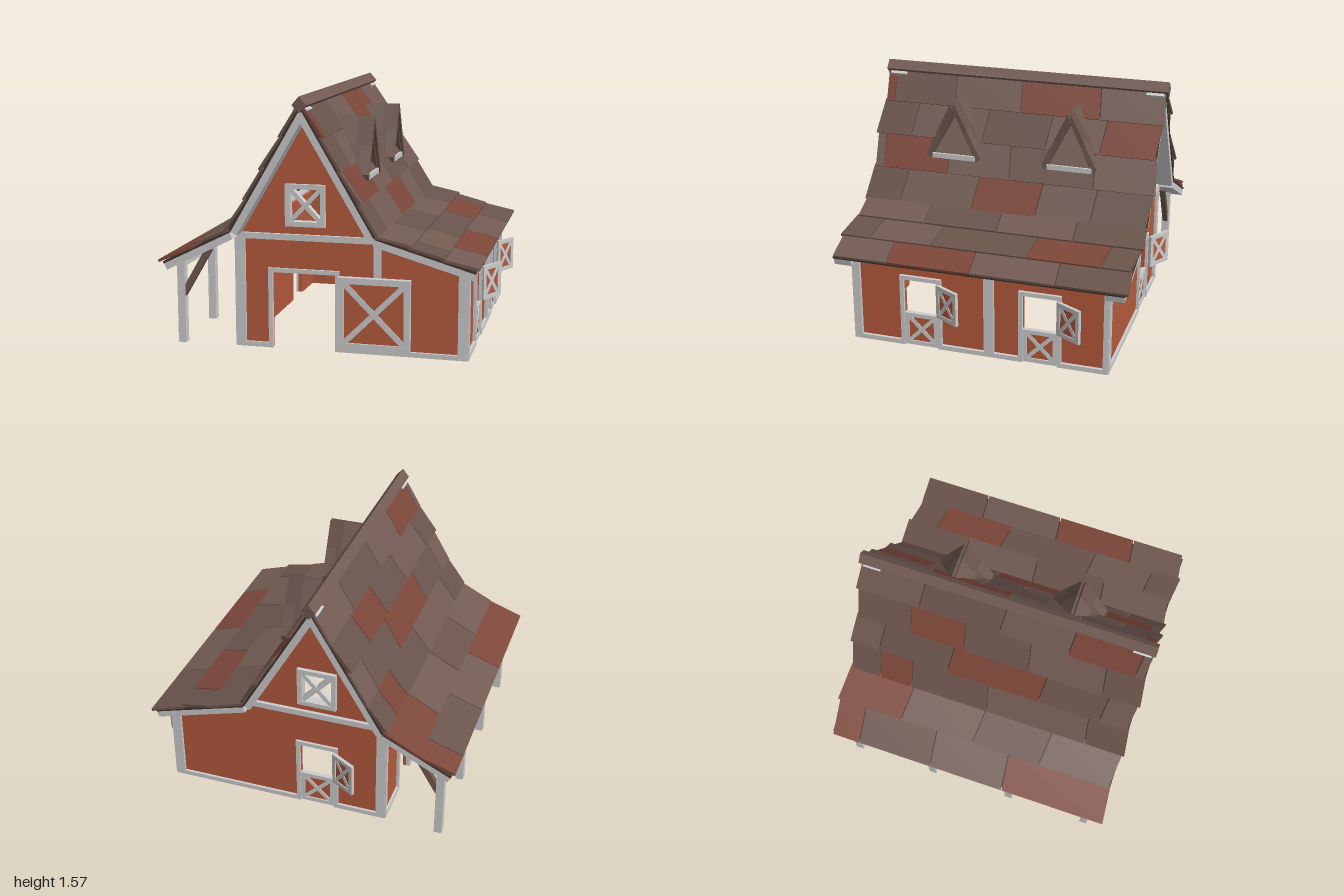
import * as THREE from 'three';
import { ConvexGeometry } from 'three/addons/geometries/ConvexGeometry.js';

const mat = (color) => new THREE.MeshStandardMaterial({ color, flatShading: true, side: THREE.DoubleSide });
const GREY = mat(0xcccccc), RED = mat(0xb55a3d), DARK = mat(0x46352f), BROWN = mat(0x70594f);
const TILES = [mat(0x725b53), mat(0x6a544c), mat(0x7c473a)];

function add(parent, name, geometry, material) {
  const mesh = new THREE.Mesh(geometry, material);
  mesh.name = name;
  parent.add(mesh);
  return mesh;
}

// Box given by its limits on each axis
function box(parent, name, material, x0, x1, y0, y1, z0, z1) {
  const m = add(parent, name, new THREE.BoxGeometry(x1 - x0, y1 - y0, z1 - z0), material);
  m.position.set((x0 + x1) / 2, (y0 + y1) / 2, (z0 + z1) / 2);
  return m;
}

// Sloping timber in an xy plane
function beam(parent, name, material, ax, ay, bx, by, width, depth, z = 0) {
  const m = add(parent, name, new THREE.BoxGeometry(Math.hypot(bx - ax, by - ay), width, depth), material);
  m.position.set((ax + bx) / 2, (ay + by) / 2, z);
  m.rotation.z = Math.atan2(by - ay, bx - ax);
  return m;
}

// Framed, cross-braced panel; its lower left corner is the local origin
function crossPanel(parent, name, w, h, rail, depth, filled = true) {
  const g = new THREE.Group();
  g.name = name;
  const d = depth / 2, r = rail;
  box(g, 'leftStile', GREY, 0, r, 0, h, -d, d);
  box(g, 'rightStile', GREY, w - r, w, 0, h, -d, d);
  box(g, 'bottomRail', GREY, r, w - r, 0, r, -d, d);
  box(g, 'topRail', GREY, r, w - r, h - r, h, -d, d);
  beam(g, 'brace', GREY, r, r, w - r, h - r, r * 0.9, depth * 0.8);
  beam(g, 'brace', GREY, r, h - r, w - r, r, r * 0.9, depth * 0.76);
  if (filled) box(g, 'panel', RED, r, w - r, r, h - r, -d * 0.4, d * 0.4);
  parent.add(g);
  return g;
}

function wall(parent, name, points, holes = []) {
  const shape = new THREE.Shape(points.map((p) => new THREE.Vector2(...p)));
  for (const [x0, x1, y0, y1] of holes) {
    shape.holes.push(new THREE.Path([[x0, y0], [x0, y1], [x1, y1], [x1, y0]].map((p) => new THREE.Vector2(...p))));
  }
  return add(parent, name, new THREE.ExtrudeGeometry(shape, { depth: 0.03, bevelEnabled: false }), RED);
}

// Door frame around an opening from a to b; put(name, a0, a1, y0, y1) places a board
function doorFrame(put, a, b, top, t) {
  put('doorJamb', a - t, a, 0, top + t);
  put('doorJamb', b, b + t, 0, top + t);
  put('doorLintel', a, b, top, top + t);
}

// One roof plane from a (top) to b (eave): deck, edge boards and staggered shingles
function roofPlane(parent, name, a, b, rows, reds, greyUnder) {
  const g = new THREE.Group();
  g.name = name;
  const s = b[0] > a[0] ? 1 : -1, len = Math.hypot(b[0] - a[0], b[1] - a[1]);
  g.position.set(a[0], a[1], 0);
  g.rotation.z = Math.atan2(b[1] - a[1], b[0] - a[0]);
  const slab = (n, m, v0, v1, z0, z1) => box(g, n, m, 0, len, Math.min(s * v0, s * v1), Math.max(s * v0, s * v1), z0, z1);
  slab('deck', DARK, -0.012, 0.002, -0.935, 0.935);
  if (greyUnder) slab('soffit', GREY, -0.025, -0.012, -0.92, 0.92);
  for (const e of [-1, 1]) slab('edgeBoard', GREY, -0.055, -0.012, Math.min(e * 0.815, e * 0.93), Math.max(e * 0.815, e * 0.93));
  const step = len / rows.length;
  rows.forEach((joints, i) => {
    const skew = (i % 2 ? 1 : -1) * 0.012;
    const cuts = [0.945 + skew / 2, ...joints, -0.945 + skew / 2];
    for (let j = 0; j + 1 < cuts.length; j++) {
      const w = cuts[j] - cuts[j + 1] - 0.008;
      const geo = new THREE.BoxGeometry(step + 0.015, 0.016, w);
      const p = geo.attributes.position;
      for (let k = 0; k < p.count; k++) p.setZ(k, p.getZ(k) + (p.getX(k) > 0 ? skew : -skew));
      const tile = add(g, 'shingle', geo, reds.includes(i * 10 + j) ? TILES[2] : TILES[(i + j) % 2]);
      tile.position.set((i + 0.5) * step + 0.005, s * 0.012, (cuts[j] + cuts[j + 1]) / 2);
      tile.rotation.z = s * 0.05;
    }
  });
  parent.add(g);
}

// Open triangular dormer growing out of the right roof plane
function dormer(parent, z) {
  const g = new THREE.Group();
  g.name = 'dormer';
  g.position.z = z;
  const V = (x, y, w) => new THREE.Vector3(x, y, w);
  for (const s of [-1, 1]) {
    // each slope is made of two shingle courses split halfway down
    const at = (t, x, inset) => V(x, 1.405 - 0.345 * t - inset * 1.6, s * Math.max(0.012 + 0.168 * t - inset * 0.6, 0));
    const courses = [[0, 0.5, -0.03, 0.075], [0.48, 1, 0.07, 0.175]];
    courses.forEach(([t0, t1, x0, x1], i) => {
      const split = [0.13, 0.165][i];
      for (const [p, q, r, m] of [[x0, split, x1, i], [split, 0.232, split, 1 - i]]) {
        const pts = [];
        for (const inset of [0, 0.022]) {
          pts.push(at(t0, p, inset), at(t0, q, inset), at(t1, q, inset), at(t1, Math.min(Math.max(r, p), q - 0.01), inset));
        }
        add(g, 'dormerShingle', new ConvexGeometry(pts), TILES[m]);
      }
    });
    add(g, 'dormerLining', new ConvexGeometry([0.022, 0.036].flatMap((n) =>
      [at(0, 0, n), at(0, 0.215, n), at(0.96, 0.215, n), at(0.96, 0.17, n)])), BROWN);
  }
  // plain panel lying on the roof inside the opening
  add(g, 'dormerBack', new ConvexGeometry([0, 0.012].flatMap((n) =>
    [V(0.015 + n, 1.37, 0), V(0.21 + n, 1.04, 0.145), V(0.21 + n, 1.04, -0.145)])), BROWN);
  box(g, 'dormerSill', GREY, 0.165, 0.228, 1.025, 1.057, -0.145, 0.145);
  parent.add(g);
}

export function createModel() {
  const root = new THREE.Group();
  root.name = 'barn';

  // End walls with gable window and doorway
  const gable = (l, r, top) => [[-0.53, 0], [l, 0], [l, top], [r, top], [r, 0], [0.885, 0],
    [0.885, 0.55], [0.335, 0.71], [-0.1, 1.46], [-0.53, 0.72]];
  const windowHole = [[-0.2, 0, 0.8, 1.005]];
  wall(root, 'frontWall', gable(-0.315, 0.09, 0.48), windowHole).position.z = 0.79;
  wall(root, 'backWall', gable(-0.205, 0.02, 0.45), windowHole).position.z = -0.82;

  // Side walls, drawn along z
  const side = (h, doors) => [[-0.82, 0], ...doors.flatMap(([a, b]) => [[a, 0], [a, 0.455], [b, 0.455], [b, 0]]),
    [0.82, 0], [0.82, h], [-0.82, h]];
  const rightWall = wall(root, 'rightWall', side(0.56, [[-0.51, -0.29], [0.265, 0.485]]));
  const leftWall = wall(root, 'leftWall', side(0.7, [[-0.52, -0.28]]));
  rightWall.position.x = 0.885;
  leftWall.position.x = -0.505;
  rightWall.rotation.y = leftWall.rotation.y = -Math.PI / 2;

  // Trim on the end walls
  for (const e of [1, -1]) {
    const put = (n, x0, x1, y0, y1, d = 0.837) => box(root, n, GREY, x0, x1, y0, y1, e > 0 ? 0.81 : -d, e > 0 ? d : -0.81);
    put('cornerPost', -0.545, -0.485, 0, 0.7);
    put('cornerPost', 0.84, 0.895, 0, 0.57);
    put('crossBeam', -0.53, 0.36, 0.685, 0.722, 0.842);
    const [l, r, top] = e > 0 ? [-0.312, 0.085, 0.48] : [-0.205, 0.02, 0.45];
    put('baseBoard', -0.5, l, 0, 0.03);
    put('baseBoard', r, 0.85, 0, 0.03);
    doorFrame(put, l, r, top, 0.026);
    if (e > 0) put('middlePost', 0.325, 0.37, 0.03, 0.69);
    crossPanel(root, 'gableWindow', 0.25, 0.26, 0.03, 0.06, false).position.set(-0.225, 0.772, e * 0.815);
  }

  // Trim on the side walls
  const putRight = (n, z0, z1, y0, y1) => box(root, n, GREY, 0.875, 0.906, y0, y1, z0, z1);
  const putLeft = (n, z0, z1, y0, y1) => box(root, n, GREY, -0.552, -0.525, y0, y1, z0, z1);
  for (const [put, h] of [[putRight, 0.55], [putLeft, 0.69]]) {
    put('cornerPost', 0.78, 0.832, 0, h);
    put('cornerPost', -0.832, -0.8, 0, h);
    put('middlePost', -0.105, -0.04, 0, h);
    put('topPlate', -0.832, 0.832, h, h + 0.025);
  }
  for (const [z0, z1] of [[-0.82, -0.51], [-0.29, 0.265], [0.485, 0.82]]) putRight('baseBoard', z0, z1, 0, 0.03);
  for (const [z0, z1] of [[-0.82, -0.52], [-0.28, 0.82]]) putLeft('baseBoard', z0, z1, 0, 0.03);
  doorFrame(putRight, -0.51, -0.29, 0.455, 0.026);
  doorFrame(putRight, 0.265, 0.485, 0.455, 0.026);
  doorFrame(putLeft, -0.52, -0.28, 0.455, 0.026);

  // Sliding front door, half doors and open shutters
  crossPanel(root, 'slidingDoor', 0.445, 0.445, 0.038, 0.04).position.set(0.11, 0.035, 0.857);
  crossPanel(root, 'backHalfDoor', 0.225, 0.22, 0.027, 0.03).position.set(-0.205, 0.005, -0.815);
  const backShutter = crossPanel(root, 'backShutter', 0.18, 0.22, 0.027, 0.022);
  backShutter.position.set(-0.21, 0.23, -0.85);
  backShutter.rotation.y = Math.PI - 0.52;
  for (const z of [0.265, -0.51]) {
    const half = crossPanel(root, 'sideHalfDoor', 0.22, 0.22, 0.027, 0.03);
    half.position.set(0.885, 0.005, z + 0.22);
    half.rotation.y = Math.PI / 2;
    const shutter = crossPanel(root, 'sideShutter', 0.182, 0.22, 0.027, 0.022);
    shutter.position.set(0.908, 0.23, z - 0.005);
    shutter.rotation.y = Math.PI / 2 - 0.5;
  }

  // Porch posts, plate and end braces
  for (const z of [-0.83, -0.28, 0.28, 0.83]) box(root, 'porchPost', GREY, -0.925, -0.875, 0, 0.52, z - 0.025, z + 0.025);
  box(root, 'porchPlate', GREY, -0.93, -0.87, 0.49, 0.54, -0.86, 0.86);
  for (const z of [-0.83, 0.83]) beam(root, 'porchBrace', BROWN, -0.89, 0.31, -0.715, 0.61, 0.04, 0.035, z);

  // Roof planes and ridge cap
  const A = [0.88, 0.45, 0, -0.53], B = [0.7, 0.21, -0.22, -0.58], C = [0.75, 0.34, -0.28, -0.75], D = [0.46, 0, -0.5];
  roofPlane(root, 'rightUpperRoof', [-0.1, 1.52], [0.355, 0.745], [A, B, [0.88, 0.43, 0.01, -0.55], B], [0, 3, 14, 21, 32], false);
  roofPlane(root, 'leftUpperRoof', [-0.1, 1.52], [-0.555, 0.745], [A, B, C, [0.68, 0, -0.52, -0.74]], [1, 13, 22, 33], false);
  roofPlane(root, 'rightLowerRoof', [0.355, 0.745], [0.957, 0.57], [[0.48, 0, -0.5], C, [0.58, 0.04, -0.5]], [13, 21], false);
  roofPlane(root, 'leftLowerRoof', [-0.555, 0.745], [-0.985, 0.53], [D, [0.25, -0.25, -0.75]], [3, 10, 13], true);
  const cap = new THREE.Shape([[-0.145, 1.52], [-0.1, 1.475], [-0.055, 1.52], [-0.1, 1.573]].map((p) => new THREE.Vector2(...p)));
  add(root, 'ridgeCap', new THREE.ExtrudeGeometry(cap, { depth: 1.91, bevelEnabled: false }), TILES[0]).position.z = -0.955;

  dormer(root, 0.39);
  dormer(root, -0.39);
  return root;
}
